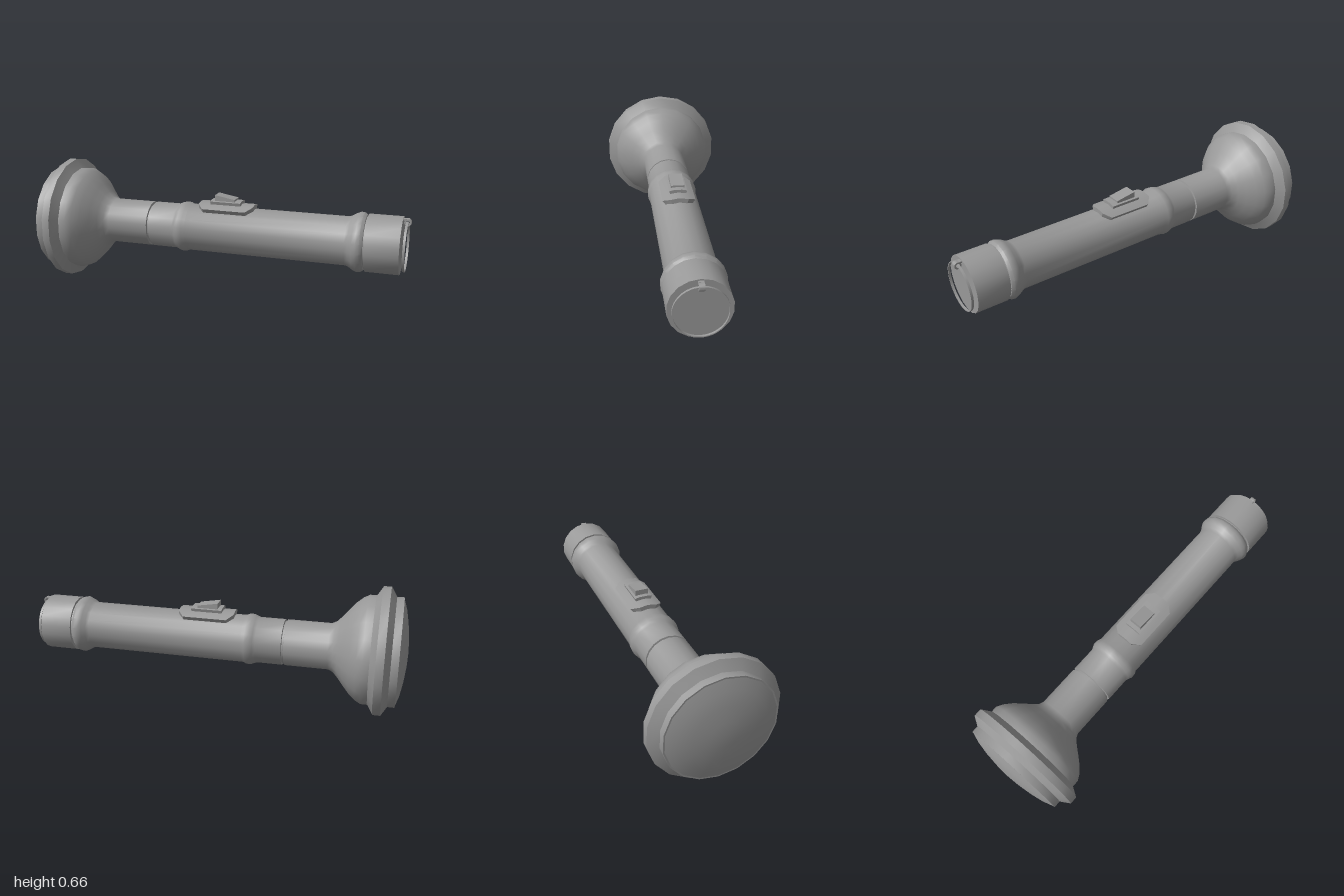
import * as THREE from 'three';
import { toCreasedNormals } from 'three/addons/utils/BufferGeometryUtils.js';

const AXIS_Y = 0.332;
const SIDES = 18;
const CREASE = 0.6;

export function createModel() {
  const group = new THREE.Group();
  const material = new THREE.MeshStandardMaterial({ color: 0x999999 });

  function add(name, geometry) {
    const mesh = new THREE.Mesh(toCreasedNormals(geometry, CREASE), material);
    mesh.name = name;
    group.add(mesh);
    return mesh;
  }

  // Turned part along x, from [x, radius] pairs, with a corner at the very top
  function turned(name, profile, sides = SIDES) {
    const points = profile.map(([x, r]) => new THREE.Vector2(r, x));
    const geometry = new THREE.LatheGeometry(points, sides, Math.PI / 2);
    geometry.rotateZ(-Math.PI / 2);
    const mesh = add(name, geometry);
    mesh.position.y = AXIS_Y;
    return mesh;
  }

  // Plate wrapped around the tube; angles run across it, inset trims its corners
  function wrappedPlate(name, x0, x1, rInner, rOuter, angles, inset) {
    const n = angles.length - 1;
    const geometry = new THREE.BoxGeometry(x1 - x0, 1, n, 1, 1, n);
    const p = geometry.attributes.position;
    for (let i = 0; i < p.count; i++) {
      const k = Math.round(p.getZ(i) + n / 2);
      const a = THREE.MathUtils.degToRad(angles[k]);
      const r = p.getY(i) > 0 ? rOuter : rInner;
      const x = p.getX(i);
      const trim = k === 0 || k === n ? inset : 0;
      p.setXYZ(i, (x0 + x1) / 2 + x - Math.sign(x) * trim, r * Math.cos(a), r * Math.sin(a));
    }
    add(name, geometry).position.y = AXIS_Y;
  }

  // Head: domed lens, bezel and bell-shaped reflector housing
  turned('lens', [[-1, 0], [-0.997, 0.07], [-0.988, 0.15], [-0.975, 0.22], [-0.957, 0.274], [-0.94, 0.274]]);
  turned('bezel', [
    [-0.957, 0.268], [-0.957, 0.282], [-0.92, 0.282], [-0.89, 0.331],
    [-0.85, 0.331], [-0.82, 0.282], [-0.81, 0.27],
  ]);
  turned('reflectorHousing', [
    [-0.83, 0.282], [-0.785, 0.282], [-0.755, 0.266], [-0.72, 0.236], [-0.685, 0.195],
    [-0.655, 0.158], [-0.63, 0.132], [-0.605, 0.121], [-0.378, 0.121], [-0.376, 0.11],
  ]);

  // Barrel: groove and neck, a soft collar, and a flared tail
  turned('barrel', [
    [-0.38, 0.111], [-0.367, 0.111], [-0.365, 0.121], [-0.23, 0.121],
    [-0.215, 0.127], [-0.198, 0.134], [-0.172, 0.134], [-0.155, 0.126],
    [0.69, 0.126], [0.708, 0.133], [0.728, 0.146], [0.748, 0.154],
    [0.768, 0.152], [0.782, 0.142], [0.784, 0.13],
  ]);
  turned('tailCap', [
    [0.78, 0.135], [0.79, 0.135], [0.79, 0.148], [0.96, 0.148], [0.96, 0],
  ]);

  // Switch: wrapped base plate, raised step and wedge slider
  wrappedPlate('switchPlate', -0.1, 0.198, 0.122, 0.15, [-34.5, -18, 0, 18, 34.5], 0.033);
  wrappedPlate('switchStep', -0.035, 0.13, 0.14, 0.166, [-16.4, -7, 7, 16.4], 0);
  const wedge = new THREE.Shape([
    new THREE.Vector2(-0.012, 0.485), new THREE.Vector2(0.097, 0.485),
    new THREE.Vector2(0.097, 0.506), new THREE.Vector2(-0.012, 0.525),
  ]);
  const slider = new THREE.ExtrudeGeometry(wedge, { depth: 0.07, bevelEnabled: false });
  add('switchSlider', slider.translate(0, 0, -0.035));

  // Flat hanging ring behind the tail cap
  turned('hangingRing', [
    [0.973, 0.122], [0.973, 0.127], [0.985, 0.127], [0.985, 0.122], [0.973, 0.122],
  ], 48).position.y = 0.328;

  // Clip: a curled strip holding the ring, with a tab into the cap
  const curl = new THREE.Shape();
  curl.absarc(0, 0, 0.018, 0, Math.PI * 2);
  const hole = new THREE.Path();
  hole.absarc(0, 0, 0.01, 0, Math.PI * 2, true);
  curl.holes.push(hole);
  const curlGeometry = new THREE.ExtrudeGeometry(curl, { depth: 0.026, bevelEnabled: false, curveSegments: 10 });
  add('ringClip', curlGeometry.translate(0, 0, -0.013)).position.set(0.982, 0.455, 0);
  add('clipTab', new THREE.BoxGeometry(0.03, 0.008, 0.026)).position.set(0.96, 0.468, 0);

  return group;
}
